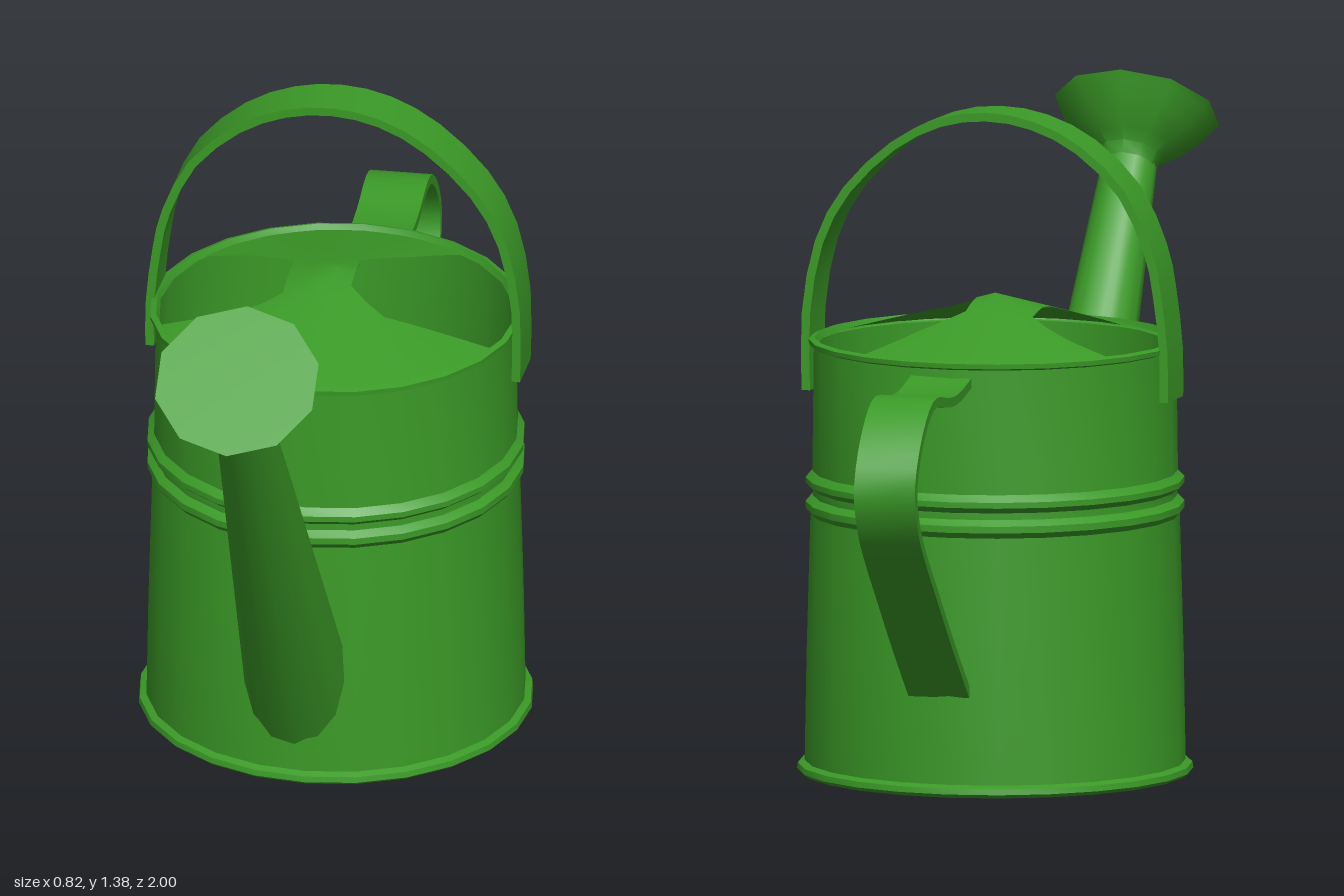
import * as THREE from 'three';
import { toCreasedNormals } from 'three/addons/utils/BufferGeometryUtils.js';

const CZ = -0.15; // z of the can's axis
const green = new THREE.MeshStandardMaterial({ color: 0x3b9a27, side: THREE.DoubleSide });
green.name = 'green paint';

function part(name, geometry, crease = 0.6) {
  const mesh = new THREE.Mesh(toCreasedNormals(geometry, crease), green);
  mesh.name = name;
  return mesh;
}

const vectors = (list) => list.map(([x, y]) => new THREE.Vector2(x, y));

// Flat metal strap: a smooth path thickened in its plane, then extruded to its width
function strap(path, thickness, width, steps) {
  const curve = new THREE.SplineCurve(vectors(path));
  const outer = [], inner = [];
  for (let i = 0; i <= steps; i++) {
    const p = curve.getPoint(i / steps), t = curve.getTangent(i / steps);
    const n = new THREE.Vector2(-t.y, t.x).multiplyScalar(thickness / 2);
    outer.push(p.clone().add(n));
    inner.unshift(p.clone().sub(n));
  }
  const shape = new THREE.Shape([...outer, ...inner]);
  const g = new THREE.ExtrudeGeometry(shape, { depth: width, bevelEnabled: false });
  return g.translate(0, 0, -width / 2);
}

// Conical lid with two side openings, built as front and back halves
function lidGeometry() {
  const R = 0.372, rows = 8;
  // x, front edge of opening, back edge of opening
  const edges = [
    [-0.372, 0.12, 0.12], [-0.35, 0.12, 0.16], [-0.31, 0.12, 0.2], [-0.25, 0.12, 0.18],
    [-0.2, 0.12, 0.16], [-0.14, 0.1, 0.12], [-0.1, 0.07, 0.08], [-0.1, 0, 0], [-0.05, 0, 0],
    [0, 0, 0], [0.04, 0, 0], [0.04, 0.05, 0.09], [0.08, 0.09, 0.14], [0.12, 0.12, 0.18],
    [0.17, 0.12, 0.24], [0.22, 0.12, 0.29], [0.27, 0.12, 0.25], [0.32, 0.12, 0.19],
    [0.35, 0.12, 0.12], [0.372, 0.12, 0.12],
  ];
  const pos = [], index = [];
  for (const side of [1, -1]) {
    const base = pos.length / 3;
    edges.forEach(([x, front, back], i) => {
      const outer = Math.sqrt(Math.max(0, R * R - x * x));
      const start = Math.min(side > 0 ? front : back, outer);
      for (let j = 0; j <= rows; j++) {
        const z = start + (outer - start) * j / rows;
        pos.push(x, 0.895 + 0.105 * (1 - Math.hypot(x, z) / R), CZ + side * z);
        if (i > 0 && j > 0) {
          const d = base + i * (rows + 1) + j, c = d - 1, b = d - rows - 1, a = b - 1;
          if (side > 0) index.push(a, b, c, b, d, c);
          else index.push(a, c, b, b, c, d);
        }
      }
    });
  }
  const g = new THREE.BufferGeometry();
  g.setAttribute('position', new THREE.Float32BufferAttribute(pos, 3));
  g.setIndex(index);
  return g;
}

export function createModel() {
  const model = new THREE.Group();
  model.name = 'wateringCan';

  // Body: foot lip, two raised ribs and a rolled rim
  const body = part('body', new THREE.LatheGeometry(vectors([
    [0, 0], [0.4, 0], [0.41, 0.008], [0.408, 0.02], [0.394, 0.026], [0.39, 0.25], [0.382, 0.54],
    [0.392, 0.552], [0.392, 0.566], [0.377, 0.578], [0.377, 0.592], [0.392, 0.604],
    [0.392, 0.616], [0.378, 0.63], [0.375, 0.89], [0.385, 0.894], [0.386, 0.904],
    [0.374, 0.908], [0.367, 0.894],
  ]), 24));
  body.position.z = CZ;
  model.add(body, part('lid', lidGeometry()));

  // Spout: tapered tube leaning forward out of the body
  const low = new THREE.Vector3(-0.025, 0.138, 0.139);
  const high = new THREE.Vector3(-0.045, 1.145, 0.806);
  const axis = high.clone().sub(low);
  const up = new THREE.Vector3(0, 1, 0);
  const spout = part('spout', new THREE.CylinderGeometry(0.057, 0.114, axis.length(), 14, 1, true));
  spout.position.copy(low).add(high).multiplyScalar(0.5);
  spout.quaternion.setFromUnitVectors(up, axis.normalize());
  model.add(spout);

  // Sprinkler head: flared cone closed by a flat face
  const rose = part('sprinklerHead', new THREE.LatheGeometry(vectors([
    [0.056, -0.13], [0.066, -0.105], [0.09, -0.085], [0.135, -0.045], [0.162, -0.012],
    [0.173, 0], [0, 0.002],
  ]), 10));
  rose.position.set(-0.045, 1.242, 0.865);
  rose.quaternion.setFromUnitVectors(up, new THREE.Vector3(0, 0.797, 0.605).normalize());
  model.add(rose);

  // Carrying handle arching over the lid
  const carry = part('carryHandle', strap([
    [-0.385, 0.795], [-0.384, 0.9], [-0.37, 1.02], [-0.35, 1.11], [-0.295, 1.225], [-0.2, 1.315],
    [-0.1, 1.362], [0, 1.376], [0.1, 1.36], [0.2, 1.308], [0.3, 1.212], [0.36, 1.1],
    [0.388, 0.95], [0.388, 0.79],
  ], 0.018, 0.11, 26));
  carry.position.z = -0.167;
  carry.rotation.y = -0.045;
  model.add(carry);

  // Rear handle looping from the rim down to the lower back
  const rear = part('rearHandle', strap([
    [0.51, 0.865], [0.62, 0.846], [0.71, 0.848], [0.8, 0.862], [0.87, 0.845], [0.945, 0.78],
    [0.985, 0.7], [0.96, 0.62], [0.9, 0.548], [0.8, 0.455], [0.67, 0.335], [0.53, 0.215],
  ], 0.02, 0.13, 28).rotateY(Math.PI / 2));
  rear.position.x = 0.022;
  model.add(rear);

  return model;
}
